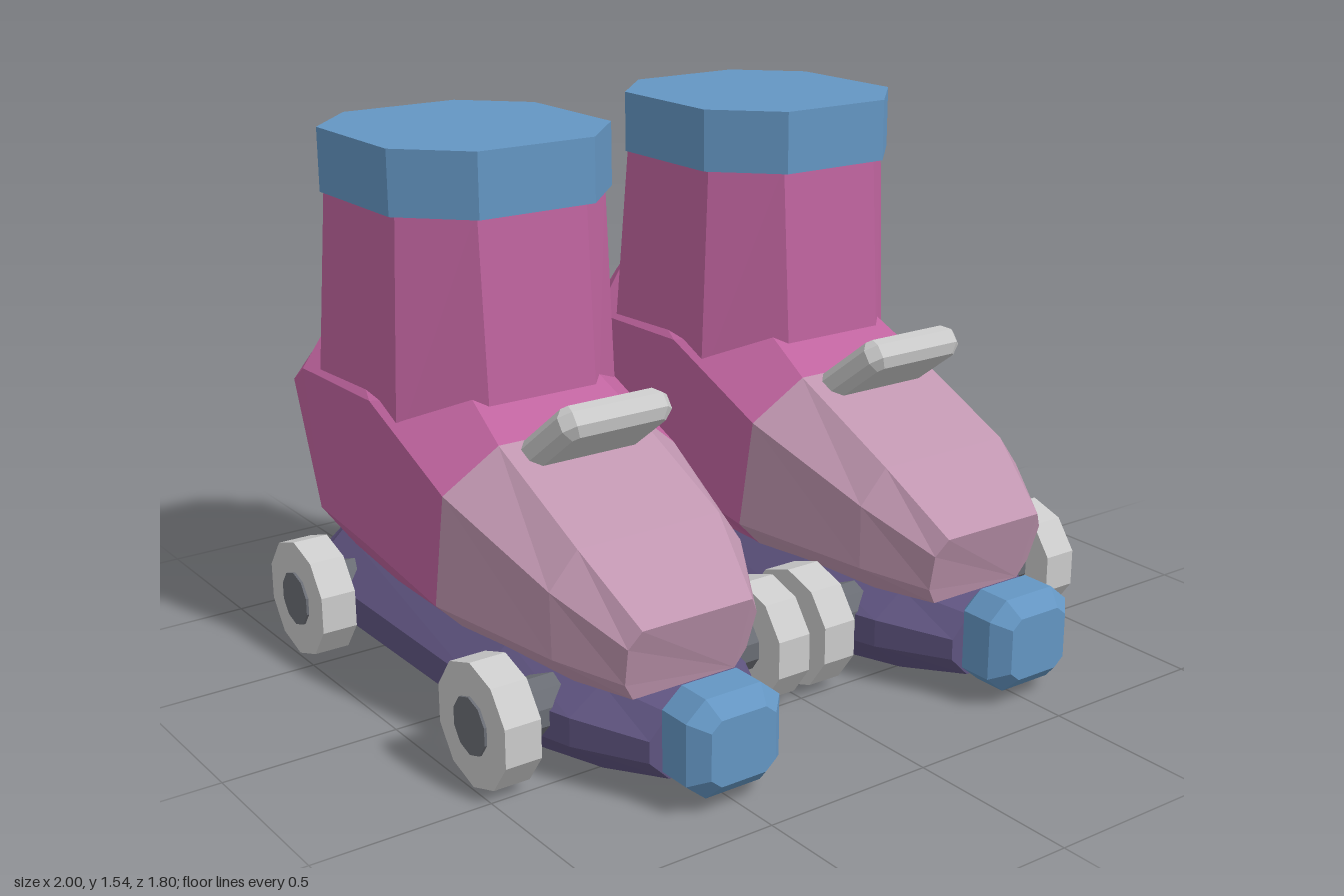
import * as THREE from 'three';

const mat = (color) => new THREE.MeshStandardMaterial({ color, flatShading: true });

// Skin over 8-sided rings; each ring is given as its +x half and mirrored.
function loft(halves) {
  const rings = halves.map((h) => [...h, ...[...h].reverse().map(([x, y, z]) => [-x, y, z])]);
  const n = rings[0].length, last = (rings.length - 1) * n, index = [];
  for (let i = 0; i < rings.length - 1; i++) {
    for (let j = 0; j < n; j++) {
      const a = i * n + j, b = i * n + (j + 1) % n;
      index.push(a, b, b + n, a, b + n, a + n);
    }
  }
  for (let j = 1; j < n - 1; j++) {
    index.push(0, j + 1, j, last, last + j, last + j + 1);
  }
  const g = new THREE.BufferGeometry();
  g.setAttribute('position', new THREE.Float32BufferAttribute(rings.flat(2), 3));
  g.setIndex(index);
  const flat = g.toNonIndexed();
  flat.computeVertexNormals();
  return flat;
}

// Slab with an octagonal outline and optionally bevelled rims, centred on z.
function octagonSlab(hw, hh, cutX, cutY, depth, bevel) {
  const pts = [
    [hw, cutY - hh], [hw, hh - cutY], [hw - cutX, hh], [cutX - hw, hh],
    [-hw, hh - cutY], [-hw, cutY - hh], [cutX - hw, -hh], [hw - cutX, -hh],
  ].map(([x, y]) => new THREE.Vector2(x, y));
  const g = new THREE.ExtrudeGeometry(new THREE.Shape(pts), {
    depth: depth - 2 * bevel, bevelEnabled: bevel > 0, bevelSegments: 1,
    bevelSize: bevel, bevelThickness: bevel, bevelOffset: -bevel,
  });
  return g.translate(0, 0, bevel - depth / 2);
}

function createSkate() {
  const skate = new THREE.Group();
  const pink = mat(0xc0649f), toePink = mat(0xc096b0), blue = mat(0x6496c3);
  const purple = mat(0x5f5480), grey = mat(0xcccccc), dark = mat(0x6a6d74);
  const add = (name, geometry, material, x = 0, y = 0, z = 0) => {
    const m = new THREE.Mesh(geometry, material);
    m.name = name;
    m.position.set(x, y, z);
    skate.add(m);
    return m;
  };

  // Boot body, split along a slanted seam into heel and toe cap
  const seam = [[0.28, 0.25, 0.02], [0.37, 0.34, 0.03], [0.37, 0.67, 0.09], [0.22, 0.79, 0.13]];
  add('bootBody', loft([
    [[0.17, 0.27, -0.71], [0.31, 0.42, -0.74], [0.335, 0.75, -0.85], [0.17, 0.90, -0.90]],
    [[0.26, 0.27, -0.64], [0.36, 0.41, -0.66], [0.365, 0.82, -0.72], [0.20, 0.98, -0.79]],
    [[0.28, 0.26, -0.35], [0.37, 0.39, -0.35], [0.37, 0.83, -0.30], [0.20, 0.88, -0.05]],
    seam,
  ]), pink);
  add('toeCap', loft([
    seam,
    [[0.22, 0.25, 0.47], [0.29, 0.33, 0.48], [0.30, 0.52, 0.49], [0.22, 0.62, 0.50]],
    [[0.16, 0.25, 0.65], [0.19, 0.30, 0.66], [0.20, 0.41, 0.69], [0.17, 0.46, 0.71]],
  ]), toePink);

  // Ankle shaft and collar
  add('ankleShaft', loft([
    [[0.17, 0.72, 0.01], [0.357, 0.72, -0.18], [0.357, 0.72, -0.64], [0.17, 0.72, -0.80]],
    [[0.17, 1.38, -0.03], [0.33, 1.38, -0.18], [0.33, 1.38, -0.59], [0.17, 1.38, -0.73]],
  ]), pink);
  add('collar', octagonSlab(0.35, 0.375, 0.17, 0.175, 0.18, 0).rotateX(-Math.PI / 2),
    blue, 0, 1.45, -0.375);

  // Tongue tab leaning forward
  add('tongueTab', octagonSlab(0.17, 0.18, 0.03, 0.03, 0.09, 0.025).rotateX(0.93),
    grey, 0, 0.805, 0.23);

  // Sole: z, bottom y, lower edge y, upper edge y, top y, inner and outer half width
  const soleStations = [
    [-0.85, 0.03, 0.11, 0.19, 0.27, 0.19, 0.29],
    [-0.75, 0.00, 0.10, 0.19, 0.29, 0.25, 0.36],
    [0.22, 0.00, 0.11, 0.19, 0.28, 0.26, 0.37],
    [0.54, 0.02, 0.11, 0.19, 0.26, 0.18, 0.28],
    [0.75, 0.06, 0.12, 0.18, 0.24, 0.12, 0.18],
  ];
  add('sole', loft(soleStations.map(([z, y0, y1, y2, y3, a, b]) =>
    [[a, y0, z], [b, y1, z], [b, y2, z], [a, y3, z]])), purple);

  // Toe stopper
  add('toeStopper', octagonSlab(0.145, 0.135, 0.06, 0.05, 0.19, 0.045), blue, 0, 0.175, 0.805);

  // Axles and wheels
  const disc = (r, w) => new THREE.CylinderGeometry(r, r, w, 10, 1, false, Math.PI / 2)
    .rotateZ(Math.PI / 2);
  for (const [end, z] of [['front', 0.40], ['rear', -0.60]]) {
    add(end + 'Axle', disc(0.08, 0.98), dark, 0, 0.173, z);
    for (const s of [-1, 1]) {
      add(end + (s > 0 ? 'Left' : 'Right') + 'Wheel', disc(0.173, 0.105), grey, s * 0.43, 0.173, z);
    }
  }
  return skate;
}

export function createModel() {
  const group = new THREE.Group();
  for (const s of [-1, 1]) {
    const skate = createSkate();
    skate.name = s > 0 ? 'leftSkate' : 'rightSkate';
    skate.position.x = s * 0.51;
    group.add(skate);
  }
  return group;
}
